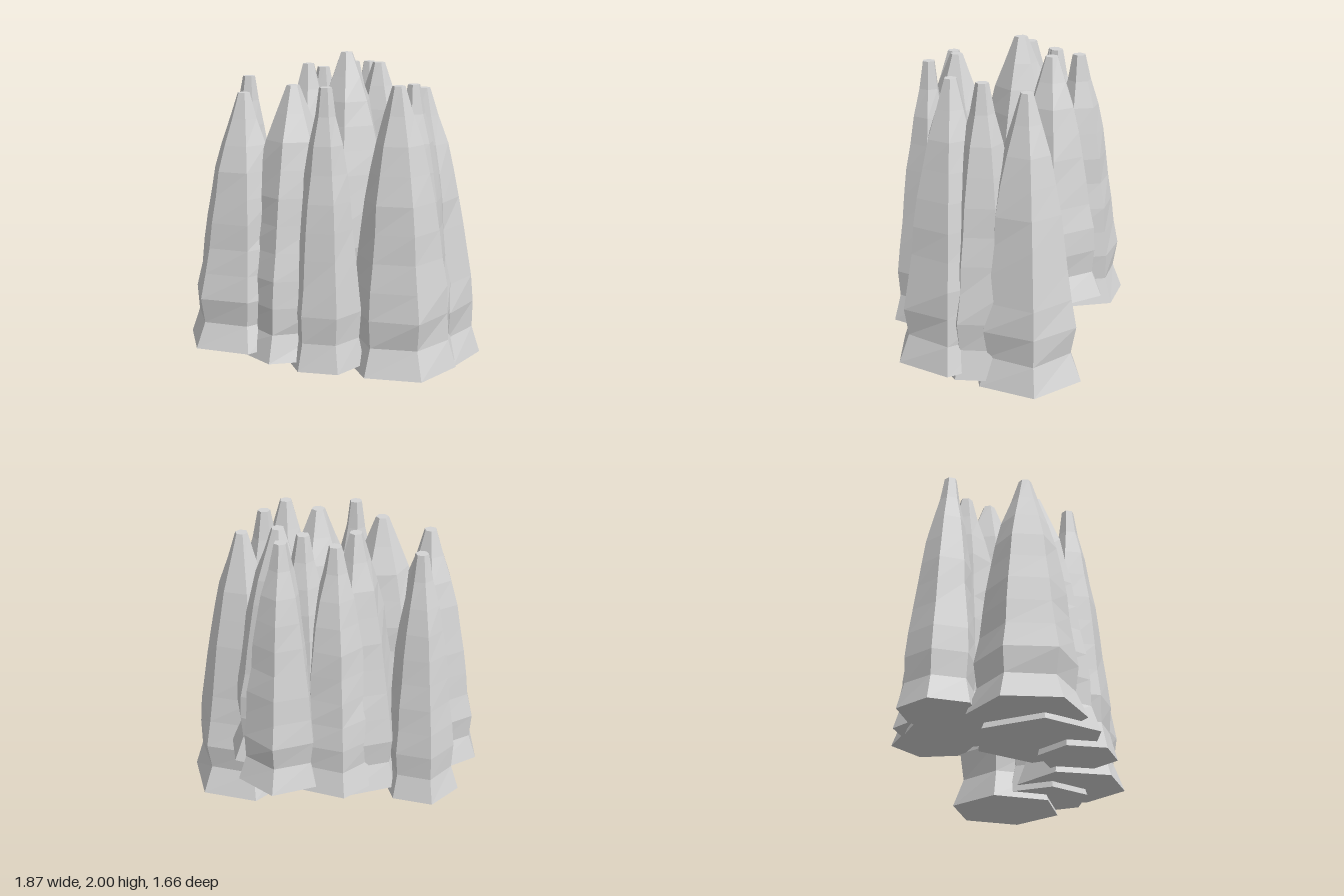
import * as THREE from 'three';

// Share of the base radius at each evenly spaced ring below the tip
const PROFILE = [1, 0.83, 0.88, 0.82, 0.75, 0.68, 0.62, 0.53, 0.42, 0.26];
const TIP_RADIUS = 0.04;
const RINGS = 10, SIDES = 6;

// Tip x, tip z, tip height, base radius, corner angle in degrees (+x towards +z).
// Each spire starts one step higher than the one before it.
const SPIRES = [
  [0.57, 0.14, 1.78, 0.362, 90],
  [0.39, 0.33, 1.83, 0.29, 70],
  [0.225, 0.44, 1.84, 0.355, 97],
  [-0.205, 0.315, 1.84, 0.25, 97],
  [-0.3, 0.045, 1.83, 0.4, 134],
  [-0.565, -0.11, 1.78, 0.35, 104],
  [-0.365, -0.54, 1.83, 0.25, 90],
  [-0.025, -0.34, 1.915, 0.33, 57],
  [0.12, -0.42, 1.88, 0.28, 94],
  [0.43, -0.36, 1.91, 0.285, 355],
  [0.285, -0.305, 1.92, 0.27, 90],
  [0.405, -0.17, 1.92, 0.345, 336],
  [0.15, -0.13, 2.0, 0.39, 60],
];
const BASE_STEP = 0.0392;
const LEAN = 1.075; // bases spread a little further out than tips

// Small repeatable variation between -1 and 1
function wobble(a, b, c) {
  const s = Math.sin(a * 12.99 + b * 78.23 + c * 37.72) * 43758.55;
  return (s - Math.floor(s)) * 2 - 1;
}

function spireGeometry([x, z, top, radius, angle], index) {
  const base = index * BASE_STEP;
  const start = THREE.MathUtils.degToRad(90 - angle);
  const geometry = new THREE.CylinderGeometry(1, 1, 1, SIDES, RINGS, false, start);
  const p = geometry.attributes.position;
  for (let i = 0; i < p.count; i++) {
    const t = p.getY(i) + 0.5;
    const ring = Math.round(t * RINGS);
    const turn = Math.atan2(p.getX(i), p.getZ(i)) - start;
    const side = ((Math.round(turn / (Math.PI * 2 / SIDES)) % SIDES) + SIDES) % SIDES;
    let r = ring === RINGS ? TIP_RADIUS : radius * PROFILE[ring];
    if (ring > 0 && ring < RINGS) r *= 1 + 0.04 * wobble(index, ring, side);
    const spread = THREE.MathUtils.lerp(LEAN, 1, t);
    p.setXYZ(i, x * spread + p.getX(i) * r, base + (top - base) * t, z * spread + p.getZ(i) * r);
  }
  geometry.computeVertexNormals();
  return geometry;
}

export function createModel() {
  const group = new THREE.Group();
  group.name = 'rockSpires';
  const stone = new THREE.MeshStandardMaterial({ color: 0xd4d4d4, flatShading: true });
  stone.name = 'paleStone';

  SPIRES.forEach((spire, i) => {
    const mesh = new THREE.Mesh(spireGeometry(spire, i), stone);
    mesh.name = `spire${i + 1}`;
    group.add(mesh);
  });
  return group;
}
